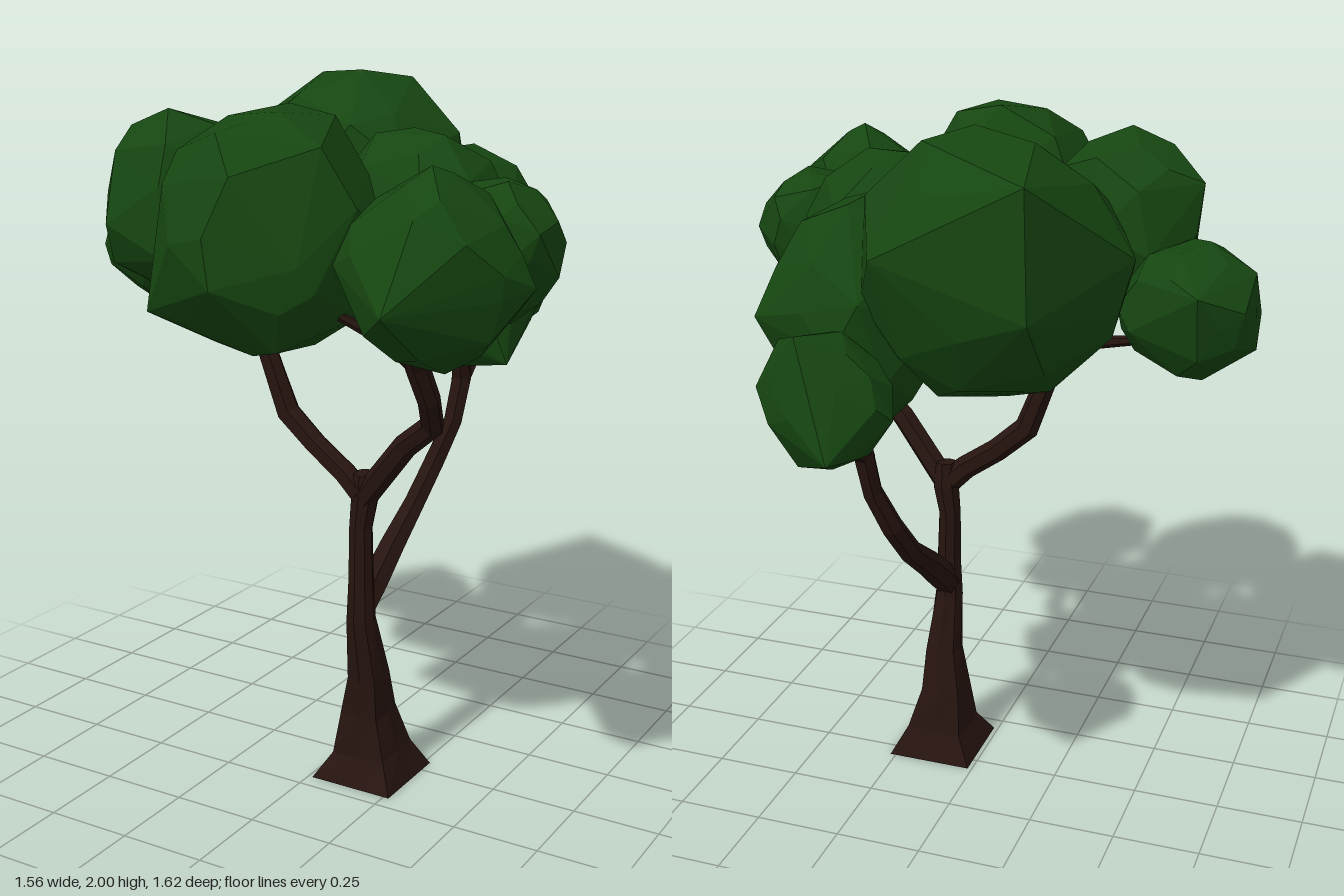
import * as THREE from 'three';
import { ConvexGeometry } from 'three/addons/geometries/ConvexGeometry.js';

const bark = new THREE.MeshStandardMaterial({ color: 0x26140f, flatShading: true });
const leaf = new THREE.MeshStandardMaterial({ color: 0x164611, flatShading: true });

// Seeded random numbers between 0 and 1
function seeded(seed) {
  let s = seed * 7919 + 17;
  return () => (s = (s * 16807) % 2147483647) / 2147483647;
}

// Tapered limb through [x, y, z, radius, squareness] rings, closed at both ends
function limb(name, rings, sides) {
  const centres = rings.map(r => new THREE.Vector3(r[0], r[1], r[2]));
  const pos = [], index = [];
  const u = new THREE.Vector3(1, 0, 0), v = new THREE.Vector3();
  const add = p => pos.push(p.x, p.y, p.z);
  rings.forEach((ring, i) => {
    const before = centres[Math.max(i - 1, 0)];
    const after = centres[Math.min(i + 1, rings.length - 1)];
    const t = after.clone().sub(before).normalize();
    u.addScaledVector(t, -u.dot(t)).normalize();
    v.crossVectors(t, u);
    for (let j = 0; j < sides; j++) {
      const a = (j / sides) * Math.PI * 2, c = Math.cos(a), s = Math.sin(a);
      const square = 1 / Math.max(Math.abs(c), Math.abs(s));
      const r = ring[3] * THREE.MathUtils.lerp(1, square, ring[4] ?? 0);
      add(centres[i].clone().addScaledVector(u, c * r).addScaledVector(v, s * r));
    }
  });
  const bottom = rings.length * sides, top = bottom + 1, last = (rings.length - 1) * sides;
  add(centres[0]);
  add(centres[rings.length - 1]);
  for (let j = 0; j < sides; j++) {
    const k = (j + 1) % sides;
    for (let i = 0; i < last; i += sides) {
      index.push(i + j, i + k, i + sides + k, i + j, i + sides + k, i + sides + j);
    }
    index.push(bottom, k, j, top, last + j, last + k);
  }
  const geo = new THREE.BufferGeometry();
  geo.setAttribute('position', new THREE.Float32BufferAttribute(pos, 3));
  geo.setIndex(index);
  geo.computeVertexNormals();
  const mesh = new THREE.Mesh(geo, bark);
  mesh.name = name;
  return mesh;
}

// Faceted leaf clump: hull of a jittered ball fitted to a box, plus outlying corners
function clump(name, [x0, x1, y0, y1, z0, z1], corners, seed) {
  const rand = seeded(seed), points = [], count = 38;
  for (let i = 0; i < count; i++) {
    const y = 1 - (2 * i + 1) / count, r = Math.sqrt(1 - y * y);
    const a = i * 2.39996 + seed + (rand() - 0.5) * 0.7;
    const p = new THREE.Vector3(r * Math.cos(a), y + (rand() - 0.5) * 0.12, r * Math.sin(a));
    points.push(p.setLength(0.92 + rand() * 0.12));
  }
  const box = new THREE.Box3().setFromPoints(points);
  const low = new THREE.Vector3(x0, y0, z0), size = new THREE.Vector3(x1, y1, z1).sub(low);
  for (const p of points) box.getParameter(p, p).multiply(size).add(low);
  for (const c of corners) points.push(new THREE.Vector3(...c));
  const mesh = new THREE.Mesh(new ConvexGeometry(points), leaf);
  mesh.name = name;
  return mesh;
}

export function createModel() {
  const tree = new THREE.Group();
  tree.name = 'tree';

  // Trunk with a flared square foot
  const wood = new THREE.Group();
  wood.name = 'wood';
  wood.add(limb('trunk', [
    [0.14, 0, 0.075, 0.127, 1], [0.14, 0.08, 0.075, 0.088, 0.8], [0.13, 0.2, 0.08, 0.066, 0.6],
    [0.142, 0.32, 0.1, 0.053, 0.4], [0.137, 0.5, 0.135, 0.043], [0.137, 0.62, 0.135, 0.037],
    [0.13, 0.77, 0.125, 0.034], [0.14, 0.86, 0.12, 0.04], [0.142, 0.93, 0.125, 0.032],
  ], 8));

  // Main boughs
  wood.add(limb('leftBough', [
    [0.14, 0.86, 0.125, 0.036], [0.08, 0.92, 0.125, 0.035], [-0.02, 0.99, 0.12, 0.034],
    [-0.11, 1.07, 0.12, 0.036], [-0.15, 1.18, 0.125, 0.032], [-0.22, 1.37, 0.13, 0.028],
    [-0.27, 1.52, 0.19, 0.016],
  ], 6));
  wood.add(limb('rightBough', [
    [0.14, 0.86, 0.125, 0.036], [0.29, 1.04, 0.165, 0.034], [0.39, 1.12, 0.2, 0.033],
    [0.42, 1.21, 0.28, 0.031], [0.41, 1.31, 0.33, 0.032], [0.42, 1.355, 0.38, 0.024],
    [0.46, 1.4, 0.47, 0.014],
  ], 6));
  wood.add(limb('backBough', [
    [0.138, 0.52, 0.14, 0.038], [0.14, 0.585, 0.07, 0.044], [0.142, 0.665, -0.03, 0.04],
    [0.145, 0.76, -0.16, 0.034], [0.165, 0.87, -0.245, 0.033], [0.2, 0.99, -0.295, 0.03],
    [0.21, 1.12, -0.33, 0.032], [0.22, 1.32, -0.26, 0.014],
  ], 6));

  // Twigs reaching into the outer clumps
  const twigs = [
    ['leftTwig', [-0.195, 1.32, 0.125, 0.029], [-0.3, 1.36, 0.08, 0.02], [-0.56, 1.42, 0.01, 0.008]],
    ['frontTwig', [0.41, 1.31, 0.33, 0.028], [0.36, 1.37, 0.37, 0.021], [0.22, 1.44, 0.42, 0.011]],
    ['rightTwig', [0.41, 1.31, 0.33, 0.028], [0.42, 1.37, 0.25, 0.021], [0.47, 1.46, 0.18, 0.011]],
    ['backTwig', [0.21, 1.11, -0.32, 0.03], [0.205, 1.17, -0.43, 0.019], [0.18, 1.26, -0.6, 0.007]],
  ];
  for (const [name, ...rings] of twigs) wood.add(limb(name, rings, 6));
  tree.add(wood);

  // Leaf clumps: name, ball limits, outlying corners
  const crown = new THREE.Group();
  crown.name = 'crown';
  const clumps = [
    ['backTopClump', [-0.48, 0.2, 1.28, 2, -0.56, 0.04],
      [[-0.32, 1.93, -0.59], [-0.33, 1.6, -0.59], [0.08, 1.72, -0.575], [-0.51, 1.7, -0.27]]],
    ['backRightClump', [-0.01, 0.46, 1.17, 1.8, -0.49, -0.01], [[0.47, 1.5, -0.42], [0.46, 1.23, -0.1]]],
    ['backEndClump', [-0.01, 0.36, 1.2, 1.55, -0.78, -0.48], [[0.1, 1.27, -0.81], [0.2, 1.57, -0.75]]],
    ['middleRightClump', [0.03, 0.5, 1.4, 1.87, -0.16, 0.25], []],
    ['rightClump', [0.37, 0.71, 1.4, 1.77, 0, 0.31], []],
    ['frontRightClump', [0.31, 0.75, 1.35, 1.82, 0.28, 0.74],
      [[0.57, 1.53, 0.81], [0.78, 1.56, 0.44], [0.55, 1.84, 0.53]]],
    ['frontClump', [-0.23, 0.34, 1.33, 1.94, 0.17, 0.745], [[-0.23, 1.43, 0.6], [0.05, 1.95, 0.35]]],
    ['frontLeftClump', [-0.56, -0.11, 1.42, 1.92, 0.04, 0.49], [[-0.57, 1.79, 0.25]]],
    ['leftEndClump', [-0.77, -0.42, 1.32, 1.69, -0.2, 0.2], [[-0.66, 1.6, -0.23], [-0.78, 1.42, -0.02]]],
  ];
  clumps.forEach(([name, box, corners], i) => crown.add(clump(name, box, corners, i + 1)));
  tree.add(crown);
  return tree;
}
